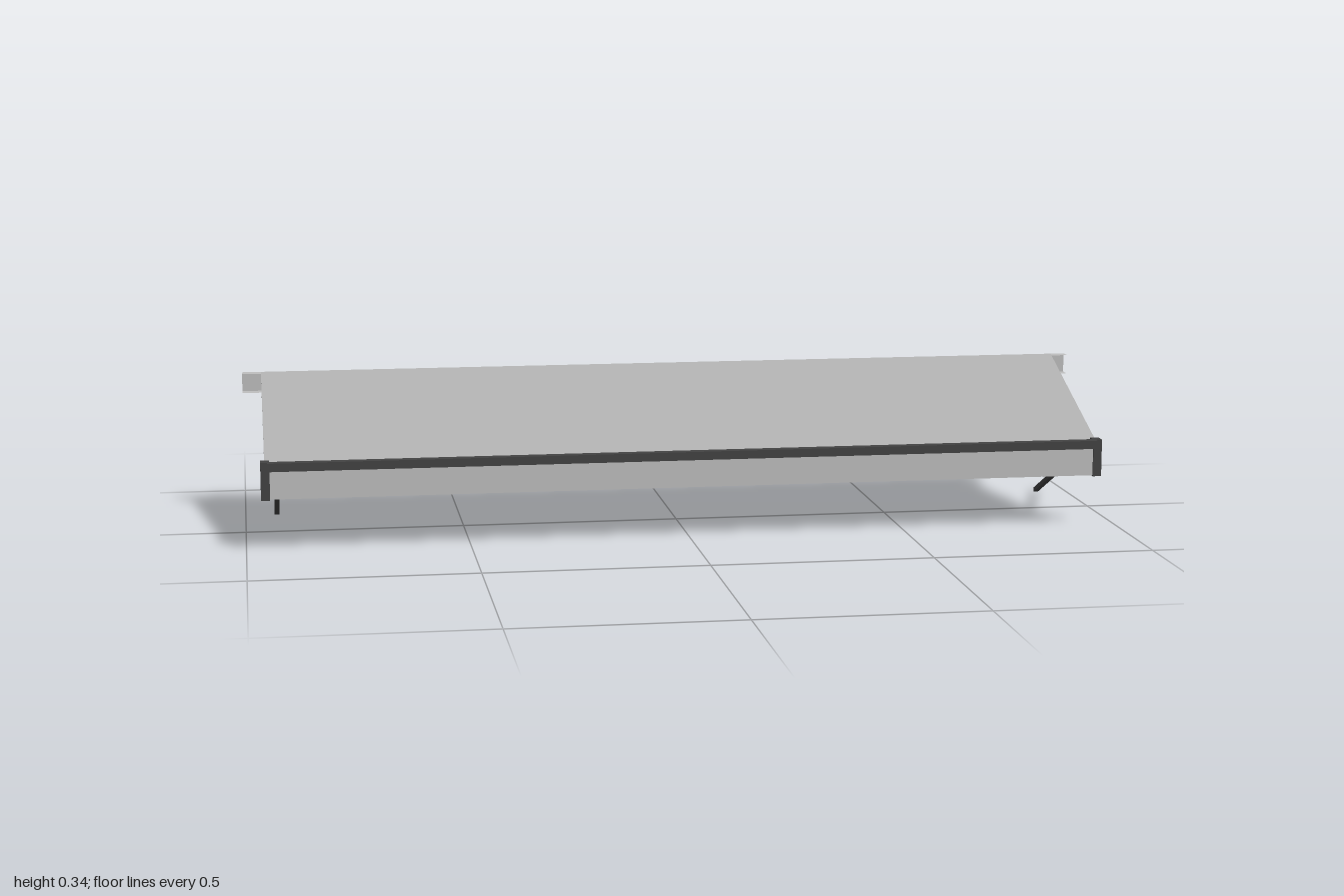
import * as THREE from 'three';

export function createModel() {
  const model = new THREE.Group();
  const canopyGrey = new THREE.MeshStandardMaterial({ name: 'canopyGrey', color: 0xb0b0b0 });
  const lightGrey = new THREE.MeshStandardMaterial({ name: 'lightGrey', color: 0xbfbfbf, side: THREE.DoubleSide });
  const darkGrey = new THREE.MeshStandardMaterial({ name: 'darkGrey', color: 0x434343 });

  const add = (name, geometry, material) => {
    const mesh = new THREE.Mesh(geometry, material);
    mesh.name = name;
    model.add(mesh);
    return mesh;
  };

  // Box given by its limits along each axis
  const block = (name, material, [x0, x1], [y0, y1], [z0, z1]) => {
    const mesh = add(name, new THREE.BoxGeometry(x1 - x0, y1 - y0, z1 - z0), material);
    mesh.position.set((x0 + x1) / 2, (y0 + y1) / 2, (z0 + z1) / 2);
    return mesh;
  };

  // Flat slab or bar sloping between two (z, y) points
  const slope = (name, material, x, width, thickness, [z0, y0], [z1, y1]) => {
    const mesh = add(name, new THREE.BoxGeometry(width, thickness, Math.hypot(z1 - z0, y1 - y0)), material);
    mesh.position.set(x, (y0 + y1) / 2, (z0 + z1) / 2);
    mesh.rotation.x = -Math.atan2(y0 - y1, z0 - z1);
    return mesh;
  };

  // Sloping fabric
  slope('canopy', canopyGrey, 0, 1.912, 0.009, [0.209, 0.187], [-0.193, 0.339]);

  // Front bar and hanging valance
  block('frontBar', darkGrey, [-0.95, 0.95], [0.183, 0.202], [0.206, 0.229]);
  block('valance', lightGrey, [-0.946, 0.946], [0.118, 0.184], [0.206, 0.213]);

  // Wall rail: sheet channel, open to the front and at its ends
  const backPlate = add('railBack', new THREE.PlaneGeometry(2, 0.045), lightGrey);
  backPlate.position.set(0, 0.315, -0.229);
  for (const [name, y] of [['railTopFlange', 0.3375], ['railBottomFlange', 0.2925]]) {
    const flange = add(name, new THREE.PlaneGeometry(2, 0.03), lightGrey);
    flange.rotation.x = -Math.PI / 2;
    flange.position.set(0, y, -0.214);
  }

  // End caps, struts and wall brackets on both sides
  for (const [side, s] of [['left', 1], ['right', -1]]) {
    const span = (a, b) => (s > 0 ? [a, b] : [-b, -a]);
    block(side + 'EndCap', darkGrey, span(0.945, 0.965), [0.116, 0.202], [0.187, 0.216]);
    block(side + 'WallBracket', darkGrey, span(0.914, 0.934), [0.223, 0.316], [-0.187, -0.161]);
    slope(side + 'Strut', darkGrey, s * 0.927, 0.011, 0.01, [0.2, 0.184], [-0.193, 0.005]);
  }

  return model;
}
